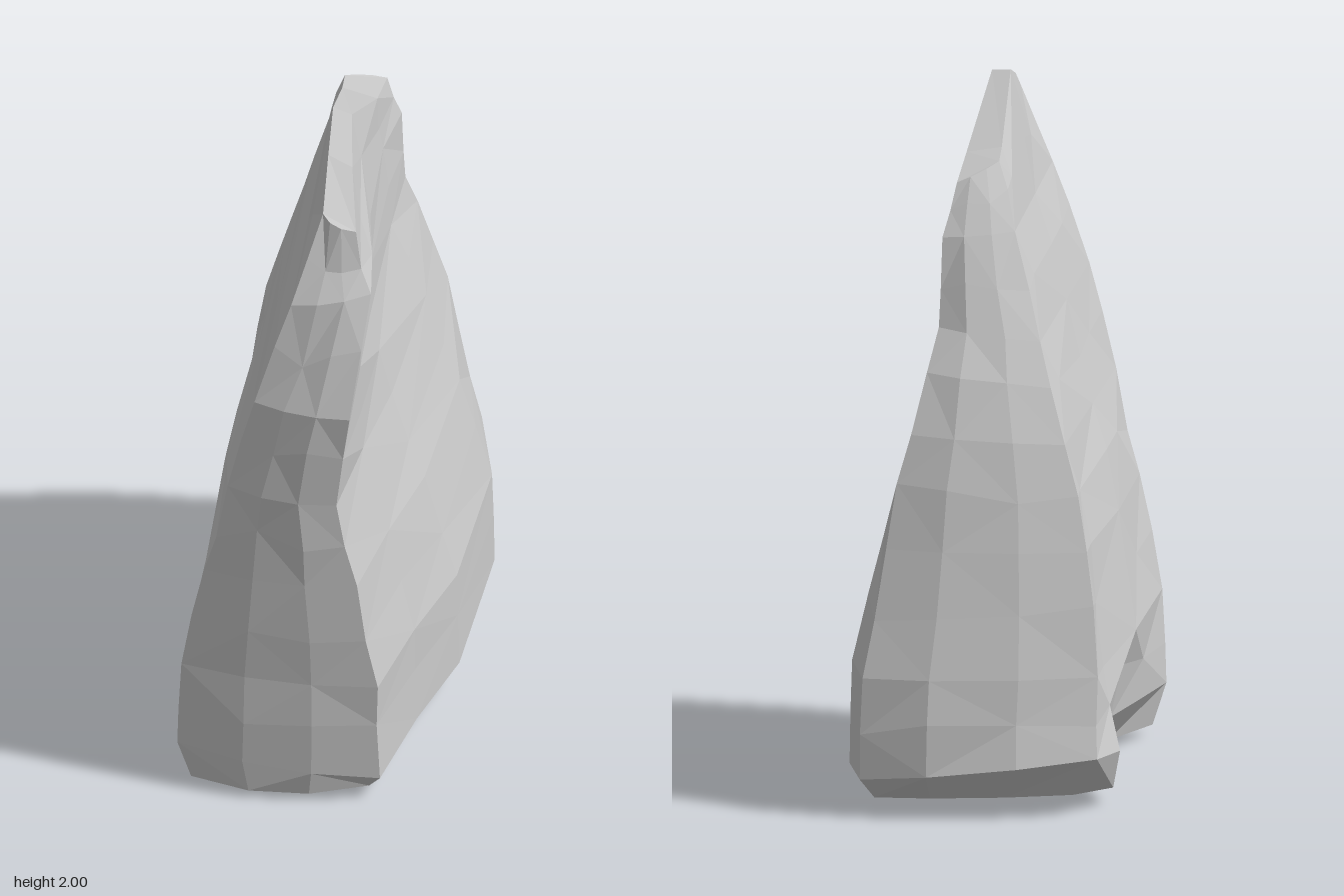
import * as THREE from 'three';

// Four corner edges of the slab, each listed from base to top as [x, y, z]
const frontRidge = [[-.03, .02, .65], [-.01, .08, .71], [-.02, .4, .73], [-.08, .75, .73], [-.14, 1.03, .73], [-.11, 1.34, .77], [-.03, 1.7, .68], [-.06, 1.87, .61]];
const backLeft = [[.5, .05, -.58], [.55, .11, -.62], [.54, .4, -.61], [.46, .76, -.55], [.38, 1.08, -.51], [.28, 1.37, -.41], [.26, 1.62, -.36], [.21, 1.77, -.32]];
const backRight = [[-.06, .05, -.65], [-.11, .17, -.76], [-.12, .4, -.72], [-.1, .75, -.66], [-.05, 1.05, -.59], [0, 1.33, -.48], [.05, 1.63, -.36], [.08, 1.82, -.28]];
const frontRight = [[-.52, .03, .52], [-.56, .15, .52], [-.55, .42, .53], [-.49, .75, .56], [-.43, 1.05, .6], [-.36, 1.35, .64], [-.25, 1.65, .62], [-.14, 1.89, .53]];

// Outward swell of each face, base to top
const leftSwell = [.07, .1, .1, .07, .04, -.01, -.04, -.05];
const rightSwell = [-.15, -.07, .01, .01, 0, 0, 0, 0];
const backSwell = [.03, .06, .05, .04, .03, .03, .02, .01];
const frontSwell = [.06, .04, .03, .03, .03, .02, .02, .02];

// Points between two corners, pushed outward and lifted by weight
function between(a, b, ts, weights, swell, lift) {
  const dx = b[0] - a[0], dz = b[2] - a[2], len = Math.hypot(dx, dz);
  return ts.map((t, i) => [
    a[0] + dx * t - dz / len * swell * weights[i],
    a[1] + (b[1] - a[1]) * t + lift * weights[i],
    a[2] + dz * t + dx / len * swell * weights[i],
  ]);
}

function makeRing(i) {
  const a = frontRidge[i], e = backLeft[i], g = backRight[i], k = frontRight[i];
  // The crest rises in the middle and the base sags slightly
  const lift = i === 7 ? .17 : i === 0 ? -.03 : 0;
  return [
    a, ...between(a, e, [.22, .43, .8], i === 7 ? [.6, 1, .2] : [.4, 1, .9], leftSwell[i], lift),
    e, ...between(e, g, [.28, .66], [1, 1], backSwell[i], 0),
    g, ...between(g, k, [.12, .54, .76], i === 7 ? [.1, 1, .6] : [-.6, 1, .5], rightSwell[i], i === 7 ? .145 : 0),
    k, ...between(k, a, [.33, .67], [1, 1], frontSwell[i], 0),
  ];
}

export function createModel() {
  let seed = 7;
  const jitter = (s) => {
    seed = (seed * 16807) % 2147483647;
    return (seed / 2147483647 - .5) * s;
  };

  // Cross-sections with slightly roughened rings in between
  const rings = [];
  for (let i = 0; i < 8; i++) {
    const ring = makeRing(i);
    if (i > 1) {
      const below = rings[rings.length - 1];
      rings.push(ring.map((p, j) => p.map((v, c) => (v + below[j][c]) / 2 + jitter(c === 1 ? .06 : .012))));
    }
    rings.push(ring);
  }

  const n = rings[0].length, index = [];
  const quad = (a, b, c, d, flip) => flip
    ? index.push(a, b, d, b, c, d)
    : index.push(a, b, c, a, c, d);

  // Sides
  for (let r = 0; r < rings.length - 1; r++) {
    for (let j = 0; j < n; j++) {
      const k = (j + 1) % n, lo = r * n, hi = lo + n;
      quad(lo + j, lo + k, hi + k, hi + j, (r + j) % 2);
    }
  }

  // Top ridge and underside, bridged between the two long edges
  const leftEdge = [13, 0, 1, 2, 3, 4, 5], rightEdge = [12, 11, 10, 9, 8, 7, 6];
  const topStart = (rings.length - 1) * n;
  for (let s = 0; s < 6; s++) {
    const [a, b, c, d] = [leftEdge[s], leftEdge[s + 1], rightEdge[s + 1], rightEdge[s]];
    quad(topStart + a, topStart + b, topStart + c, topStart + d);
    quad(d, c, b, a);
  }

  const geometry = new THREE.BufferGeometry();
  geometry.setAttribute('position', new THREE.Float32BufferAttribute(rings.flat(2), 3));
  geometry.setIndex(index);
  geometry.computeVertexNormals();

  const rock = new THREE.Mesh(geometry, new THREE.MeshStandardMaterial({ color: 0xcccccc, flatShading: true }));
  rock.name = 'rock';
  const group = new THREE.Group();
  group.name = 'standingRock';
  group.add(rock);
  return group;
}
